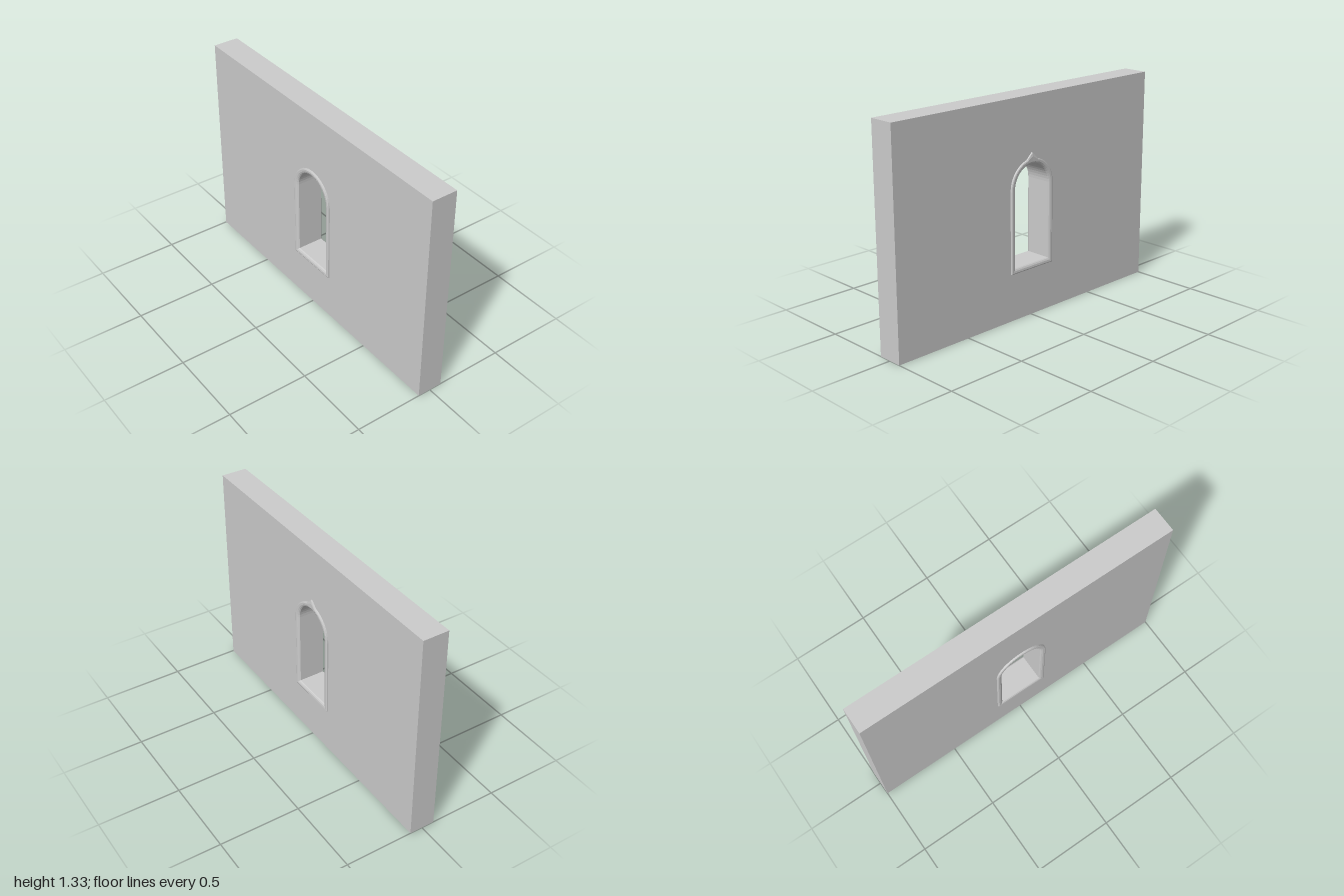
import * as THREE from 'three';

const HALF_THICK = 0.079, WALL_H = 1.325;
const RADIUS = 0.134, SILL = 0.324, SPRING = 0.79, SEGMENTS = 24;

const material = new THREE.MeshStandardMaterial({ color: 0xcccccc, flatShading: true, side: THREE.DoubleSide });

// Outline of the round-arched opening in (z, y), grown outward by d, with an optional pointed tip
function archOutline(d, tip = 0) {
  const r = RADIUS + d;
  const points = [new THREE.Vector2(-r, SILL - d), new THREE.Vector2(r, SILL - d)];
  for (let i = 0; i <= SEGMENTS; i++) {
    const a = (i / SEGMENTS) * Math.PI;
    const z = r * Math.cos(a);
    const bump = tip * Math.max(0, 1 - Math.abs(z) / 0.04);
    points.push(new THREE.Vector2(z, SPRING + r * Math.sin(a) + bump));
  }
  return points;
}

// Wall slab pierced by the opening, open underneath
function wallGeometry() {
  const shape = new THREE.Shape([[-1, 0], [1, 0], [1, WALL_H], [-1, WALL_H]].map(p => new THREE.Vector2(...p)));
  shape.holes.push(new THREE.Path([...archOutline(0), archOutline(0)[0]]));
  const solid = new THREE.ExtrudeGeometry(shape, { depth: 2 * HALF_THICK, bevelEnabled: false });
  solid.translate(0, 0, -HALF_THICK).rotateY(-Math.PI / 2);
  const p = solid.attributes.position;
  const kept = [];
  for (let i = 0; i < p.count; i += 3) {
    if (Math.max(p.getY(i), p.getY(i + 1), p.getY(i + 2)) < 1e-4) continue;
    for (let k = i; k < i + 3; k++) kept.push(p.getX(k), p.getY(k), p.getZ(k));
  }
  const geometry = new THREE.BufferGeometry();
  geometry.setAttribute('position', new THREE.Float32BufferAttribute(kept, 3));
  geometry.computeVertexNormals();
  return geometry;
}

// Raised moulding around the opening; side is +1 or -1 along x
function frameGeometry(side, tip) {
  // [outward offset, relief from the wall, share of the tip]
  const profile = [[0.033, 0, 1], [0.032, 0.009, 1], [0.026, 0.0115, 0.6], [0.014, 0.0105, 0], [0.005, 0.006, 0], [0, 0, 0]];
  const positions = [], index = [];
  let n = 0;
  for (const [d, relief, share] of profile) {
    const ring = archOutline(d, tip * share);
    n = ring.length;
    for (const q of ring) positions.push(side * (HALF_THICK + relief), q.y, q.x);
  }
  for (let j = 0; j < profile.length - 1; j++) {
    for (let i = 0; i < n; i++) {
      const k = (i + 1) % n;
      const a = j * n + i, b = j * n + k, c = b + n, e = a + n;
      if (side > 0) index.push(a, c, b, a, e, c);
      else index.push(a, b, c, a, c, e);
    }
  }
  const geometry = new THREE.BufferGeometry();
  geometry.setAttribute('position', new THREE.Float32BufferAttribute(positions, 3));
  geometry.setIndex(index);
  geometry.computeVertexNormals();
  return geometry;
}

export function createModel() {
  const model = new THREE.Group();
  model.name = 'wallWithArchedWindow';
  const add = (name, geometry) => {
    const mesh = new THREE.Mesh(geometry, material);
    mesh.name = name;
    model.add(mesh);
  };
  add('wall', wallGeometry());
  // The outer moulding carries a small point at its crown, the inner one is plain
  add('outerWindowFrame', frameGeometry(1, 0.035));
  add('innerWindowFrame', frameGeometry(-1, 0));
  return model;
}
